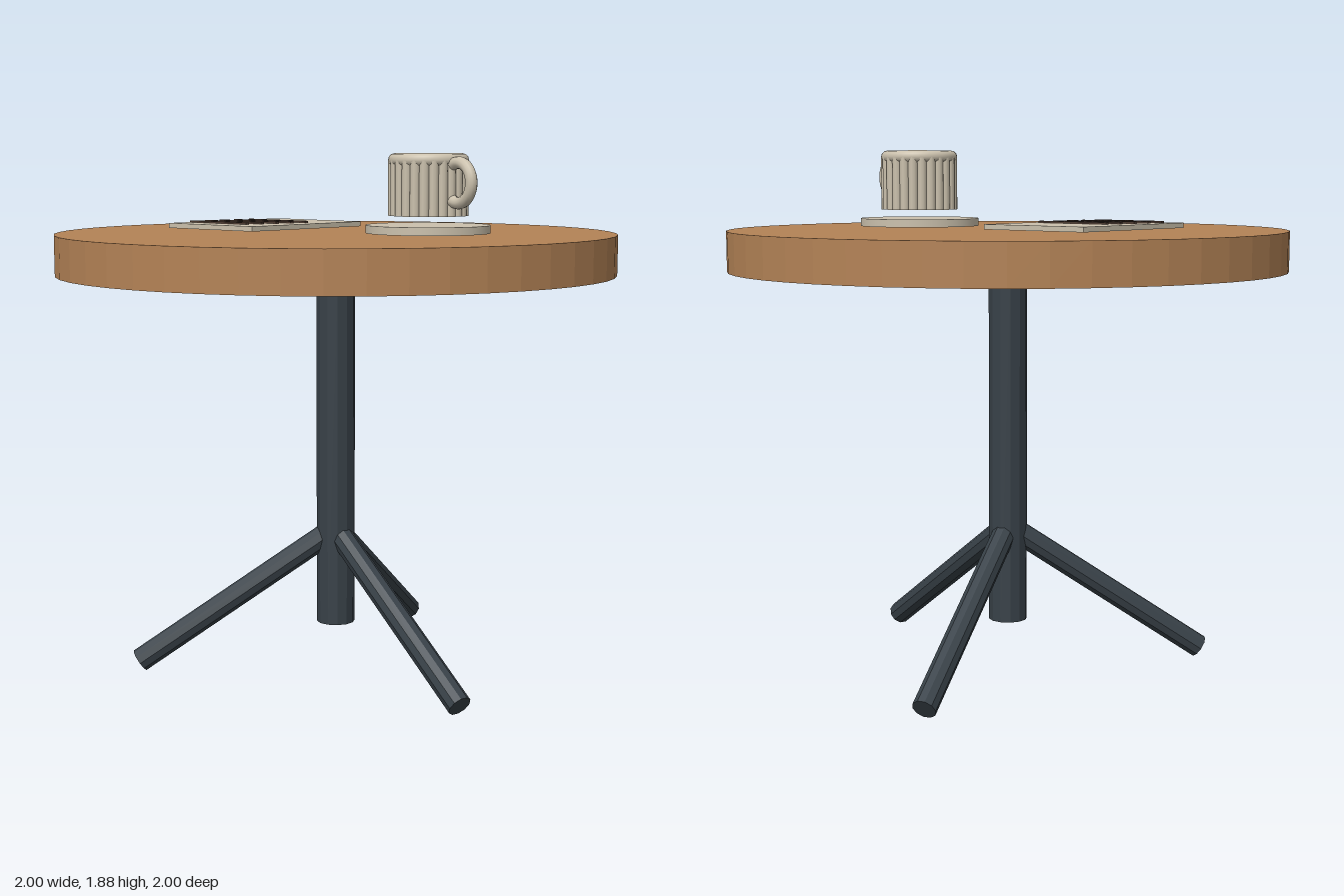
import * as THREE from 'three';

const mat = (name, color, extra = {}) => {
  const m = new THREE.MeshStandardMaterial({ color, ...extra });
  m.name = name;
  return m;
};

export function createModel() {
  const wood = mat('wood', 0xb48356, { flatShading: true });
  const metal = mat('dark metal', 0x384148, { flatShading: true });
  const cream = mat('cream ceramic', 0xcbc1ad);
  const brown = mat('coffee brown', 0x4b3a30);

  const add = (parent, name, geometry, material, x = 0, y = 0, z = 0) => {
    const mesh = new THREE.Mesh(geometry, material);
    mesh.name = name;
    mesh.position.set(x, y, z);
    parent.add(mesh);
    return mesh;
  };
  const group = (parent, name, x = 0, y = 0, z = 0) => {
    const g = new THREE.Group();
    g.name = name;
    g.position.set(x, y, z);
    if (parent) parent.add(g);
    return g;
  };

  const model = group(null, 'cafeTable');

  // Round top and central column
  add(model, 'tableTop', new THREE.CylinderGeometry(1, 1, 0.144, 48), wood, 0, 1.532, 0);
  add(model, 'column', new THREE.CylinderGeometry(0.07, 0.07, 1.29, 12), metal, 0, 0.17 + 0.645, 0);

  // Three splayed legs, the first towards +x
  const top = new THREE.Vector3(0.03, 0.5, 0);
  const foot = new THREE.Vector3(0.725, 0.036, 0);
  const along = foot.clone().sub(top);
  for (let i = 0; i < 3; i++) {
    const pivot = group(model, 'leg' + (i + 1));
    pivot.rotation.y = (i * Math.PI * 2) / 3;
    const leg = add(pivot, 'legTube', new THREE.CylinderGeometry(0.043, 0.043, along.length(), 10), metal);
    leg.position.copy(top).addScaledVector(along, 0.5);
    leg.quaternion.setFromUnitVectors(new THREE.Vector3(0, -1, 0), along.clone().normalize());
  }

  // Saucer and cup
  const cup = group(model, 'cupAndSaucer', 0.342, 0, -0.15);
  add(cup, 'saucer', new THREE.CylinderGeometry(0.217, 0.217, 0.028, 40), cream, 0, 1.626, 0);
  add(cup, 'cupFloor', new THREE.CylinderGeometry(0.122, 0.122, 0.02, 32), cream, 0, 1.682, 0);
  add(cup, 'coffee', new THREE.CylinderGeometry(0.115, 0.115, 0.008, 32), brown, 0, 1.73, 0);
  const ribs = group(cup, 'cupRibs');
  const ribGeometry = new THREE.CylinderGeometry(0.018, 0.018, 0.19, 10);
  for (let i = 0; i < 24; i++) {
    const a = (i / 24) * Math.PI * 2;
    add(ribs, 'rib', ribGeometry, cream, Math.cos(a) * 0.122, 1.767, Math.sin(a) * 0.122);
  }
  const rim = add(cup, 'cupRim', new THREE.TorusGeometry(0.117, 0.023, 12, 40), cream, 0, 1.863, 0);
  rim.rotation.x = Math.PI / 2;

  // Handle: the part of a ring that lies outside the cup wall
  const handle = add(cup, 'cupHandle',
    new THREE.TorusGeometry(0.068, 0.021, 12, 28, Math.PI * 1.3), cream, 0.163, 1.787, 0);
  handle.rotation.z = -Math.PI * 0.65;

  // Menu card with five printed lines
  const menu = group(model, 'menu');
  const card = add(menu, 'menuCard', new THREE.BoxGeometry(0.43, 0.018, 0.575), cream, -0.328, 1.623, 0.086);
  card.rotation.y = 0.22;
  for (let i = 0; i < 5; i++) {
    const line = add(menu, 'menuLine', new THREE.BoxGeometry(0.293, 0.009, 0.015), brown,
      -0.328, 1.635, 0.032 + i * 0.064);
    line.rotation.y = 0.22;
  }

  return model;
}
